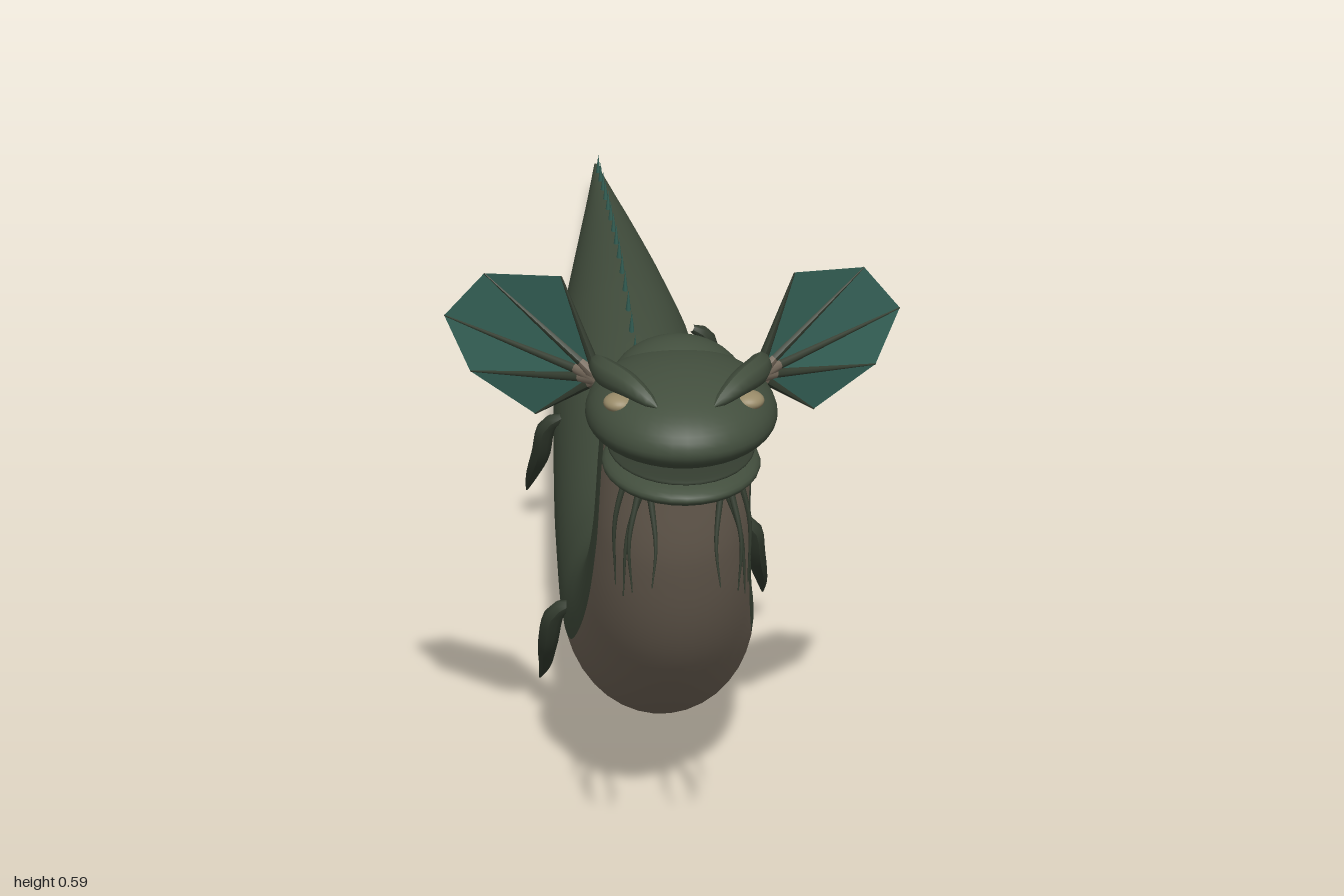
import * as THREE from 'three';

const mat = (name, color, side = THREE.FrontSide) => {
  const m = new THREE.MeshStandardMaterial({ color, side });
  m.name = name;
  return m;
};
const V = (x, y, z) => new THREE.Vector3(x, y, z);

// Body sections from neck to tail: centre z, centre y, half width, half height
const SECTIONS = [
  [0.84, 0.495, 0.06, 0.052], [0.81, 0.435, 0.066, 0.057], [0.763, 0.332, 0.07, 0.066],
  [0.69, 0.24, 0.077, 0.083], [0.585, 0.164, 0.087, 0.096], [0.445, 0.123, 0.091, 0.103],
  [0.25, 0.114, 0.09, 0.103], [0, 0.112, 0.084, 0.098], [-0.2, 0.106, 0.074, 0.088],
  [-0.4, 0.096, 0.056, 0.07], [-0.6, 0.083, 0.037, 0.047], [-0.8, 0.065, 0.019, 0.026],
  [-1, 0.047, 0.002, 0.003],
];
const spine = new THREE.CatmullRomCurve3(SECTIONS.map(([z, y]) => V(0, y, z)));
const radii = new THREE.CatmullRomCurve3(SECTIONS.map(([, , w, h]) => V(w, h, 0)));

// Centre, radii, tangent and dorsal direction at spine parameter t
function frame(t) {
  const c = spine.getPoint(t), r = radii.getPoint(t), T = spine.getTangent(t);
  return { c, w: r.x, h: r.y, T, U: V(0, -T.z, T.y) };
}

// One smooth skin, with the back and belly as separate material groups
function bodyGeometry() {
  const rings = 96, sides = 36, backSides = 21, pos = [], idx = [];
  for (let i = 0; i <= rings; i++) {
    const { c, w, h, U } = frame(i / rings);
    for (let j = 0; j < sides; j++) {
      const a = (-15 + j * 360 / sides) * Math.PI / 180;
      const p = c.clone().addScaledVector(U, Math.sin(a) * h);
      pos.push(p.x + Math.cos(a) * w, p.y, p.z);
    }
  }
  for (let j = 0; j < sides; j++) for (let i = 0; i < rings; i++) {
    const a = i * sides + j, b = i * sides + (j + 1) % sides;
    idx.push(a, a + sides, b, b, a + sides, b + sides);
  }
  const g = new THREE.BufferGeometry();
  g.setAttribute('position', new THREE.Float32BufferAttribute(pos, 3));
  g.setIndex(idx);
  g.computeVertexNormals();
  g.addGroup(0, backSides * rings * 6, 0);
  g.addGroup(backSides * rings * 6, (sides - backSides) * rings * 6, 1);
  return g;
}

// Tube whose radius follows a rule along its length
function taperedTube(points, radius, n = 14) {
  const curve = new THREE.CatmullRomCurve3(points);
  const g = new THREE.TubeGeometry(curve, n, 1, 8);
  const p = g.attributes.position, v = V(0, 0, 0);
  for (let k = 0; k < p.count; k++) {
    const t = Math.floor(k / 9) / n, c = curve.getPointAt(t);
    v.fromBufferAttribute(p, k).sub(c).multiplyScalar(radius(t)).add(c);
    p.setXYZ(k, v.x, v.y, v.z);
  }
  g.computeVertexNormals();
  return g;
}

export function createModel() {
  const model = new THREE.Group();
  model.name = 'seaSerpent';
  const green = mat('back green', 0x434f3e), tan = mat('belly tan', 0x74685a);
  const teal = mat('fin teal', 0x3a6a5f, THREE.DoubleSide);
  const dark = mat('dark green', 0x343d30), eyeMat = mat('eye gold', 0x988a68);

  const add = (name, geo, material, parent = model) => {
    const m = new THREE.Mesh(geo, material);
    m.name = name;
    parent.add(m);
    return m;
  };
  const ball = (name, material, c, r, parent) => {
    const m = add(name, new THREE.SphereGeometry(1, 32, 20), material, parent);
    m.position.set(...c);
    m.scale.set(...r);
    return m;
  };

  add('body', bodyGeometry(), [green, tan]);

  // Dorsal spines: thin blades with an upright front edge
  const spikes = new THREE.Group();
  spikes.name = 'dorsalSpines';
  model.add(spikes);
  const count = 25;
  for (let i = 0; i < count; i++) {
    const k = i / (count - 1);
    const { c, h, T, U } = frame(spine.getUtoTmapping(0.07 + 0.89 * k));
    const height = 0.055 - 0.03 * Math.min(1, k * 2.2), half = 0.014 - 0.004 * k;
    const g = new THREE.ConeGeometry(1, 1, 8, 1);
    const p = g.attributes.position;
    for (let n = 0; n < p.count; n++) {
      const lift = p.getY(n) + 0.5;
      p.setXYZ(n, p.getX(n) * 0.004, lift * (height + 0.01) - 0.01,
        p.getZ(n) * half + lift * half);
    }
    g.computeVertexNormals();
    g.applyMatrix4(new THREE.Matrix4().makeBasis(V(1, 0, 0), U, T.clone().negate())
      .setPosition(c.clone().addScaledVector(U, h)));
    add('dorsalSpine', g, teal, spikes);
  }

  // Head
  const head = new THREE.Group();
  head.name = 'head';
  model.add(head);
  ball('nape', green, [0, 0.49, 0.84], [0.061, 0.05, 0.053], head);
  const skull = new THREE.SphereGeometry(1, 40, 28), sp = skull.attributes.position;
  for (let i = 0; i < sp.count; i++) { // flatter underside, blunt snout
    const y = sp.getY(i);
    sp.setXYZ(i, sp.getX(i) * 0.082, 0.497 + y * (y > 0 ? 0.043 : 0.033), 0.9 + sp.getZ(i) * 0.1);
  }
  skull.computeVertexNormals();
  add('upperHead', skull, green, head);
  ball('mouthLine', dark, [0, 0.466, 0.9], [0.063, 0.007, 0.088], head);
  ball('lowerJaw', green, [0, 0.451, 0.9], [0.068, 0.017, 0.09], head);

  for (const s of [1, -1]) {
    const side = s > 0 ? 'left' : 'right';
    const P = (x, y, z) => V(s * x, y, z);

    // Brow and eye
    add(side + 'Brow', taperedTube(
      [P(0.024, 0.528, 0.968), P(0.044, 0.537, 0.945), P(0.064, 0.535, 0.905), P(0.072, 0.528, 0.855)],
      t => 0.001 + 0.011 * Math.pow(Math.sin(Math.PI * t), 0.6)), green, head);
    ball(side + 'Eye', eyeMat, [s * 0.054, 0.521, 0.938], [0.014, 0.008, 0.014], head);

    // Ear frill: membrane fan stiffened by ribs
    const root = P(0.068, 0.508, 0.85);
    const tips = [[0.1, 0.6, 0.845], [0.165, 0.583, 0.79], [0.2, 0.533, 0.76],
      [0.178, 0.486, 0.775], [0.122, 0.455, 0.8]].map(p => P(...p));
    const fan = [];
    for (let i = 0; i < 4; i++) fan.push(root, tips[i], tips[i + 1]);
    const membrane = new THREE.BufferGeometry().setFromPoints(fan);
    membrane.computeVertexNormals();
    add(side + 'FrillMembrane', membrane, teal, head);
    for (const tip of tips) {
      const base = root.clone().lerp(tip, 0.3);
      add(side + 'FrillRib', taperedTube([root, root.clone().lerp(tip, 0.5), tip],
        t => 0.0045 * (1 - t) + 0.0006, 8), dark, head);
      add(side + 'FrillRibBase', taperedTube([root, root.clone().lerp(base, 0.5), base],
        t => 0.007 * (1 - t) + 0.001, 6), tan, head);
    }

    // Chin barbels
    [[0.03, 0.055 - 0.026, 0.965, 0.37, 0.985], [0.038, 0.045, 0.955, 0.36, 0.97],
      [0.032, 0.052, 0.94, 0.35, 0.955], [0.046, 0.057, 0.915, 0.345, 0.92]]
      .forEach(([x0, x1, z0, y1, z1], i) => {
        const out = i === 0 ? -0.004 : 0.006;
        add(side + 'Barbel', taperedTube([P(x0, 0.45, z0), P((x0 + x1) / 2 + out, 0.405, (z0 + z1) / 2 + 0.003),
          P(x1, y1, z1)], t => 0.0026 * (1 - t) + 0.0005, 10), dark, head);
      });

    // Small trailing limbs, staggered between the two sides
    const limbs = s > 0 ? [[0.36, 0.09, 0.12], [-0.155, 0.076, 0.097]]
      : [[0.55, 0.087, 0.111], [0.09, 0.081, 0.112]];
    for (const [z, x0, x1] of limbs) {
      add(side + 'Limb', taperedTube(
        [P(x0 - 0.004, 0.157, z), P(x0 + 0.01, 0.148, z - 0.004), P(x0 + 0.018, 0.105, z - 0.027),
          P(x1 - 0.004, 0.065, z - 0.062), P(x1, 0.033, z - 0.1)],
        t => 0.0006 + 0.0095 * Math.pow(Math.sin(Math.PI * Math.pow(t * 0.96 + 0.02, 0.55)), 0.9)), dark);
    }
  }
  return model;
}
